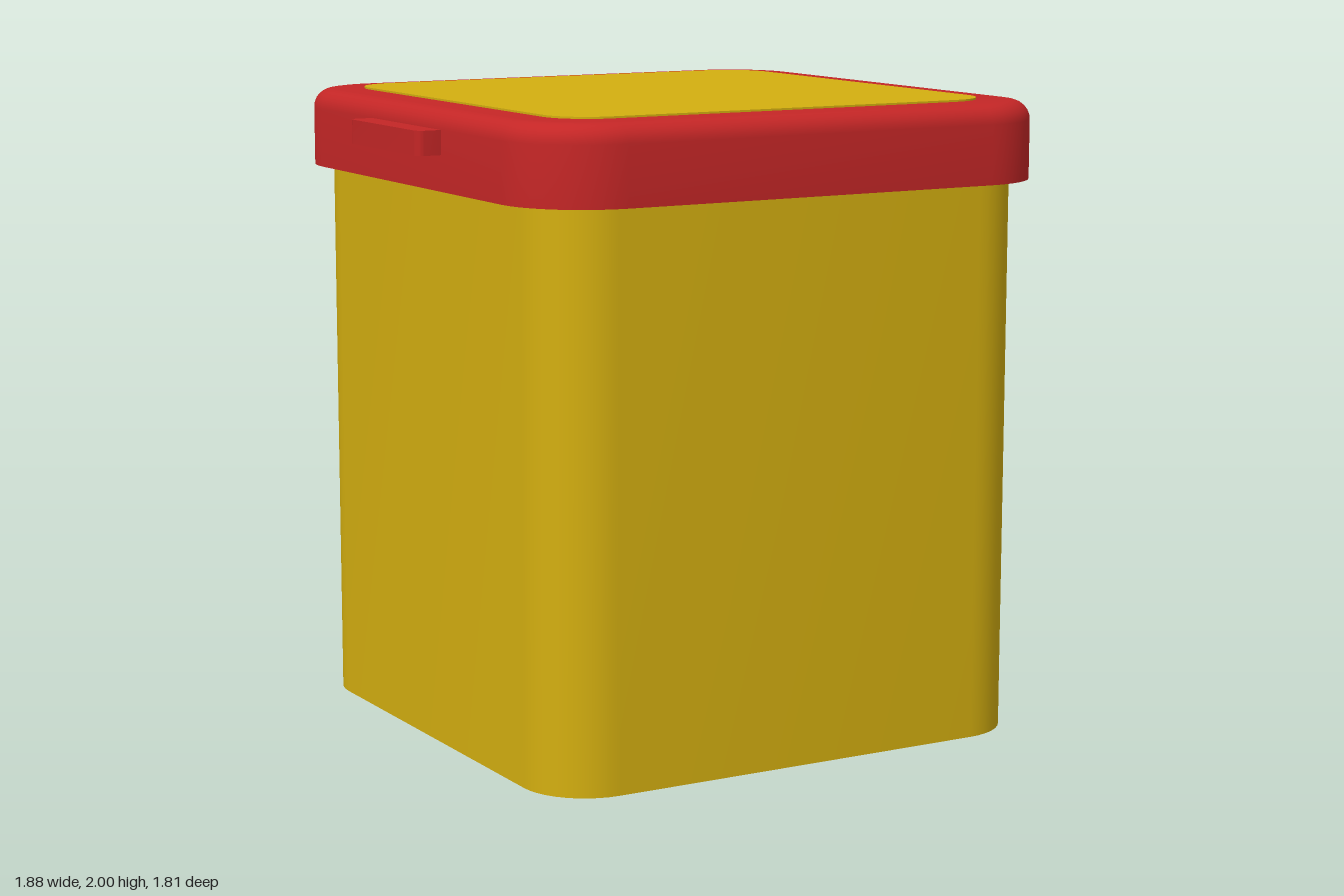
import * as THREE from 'three';
import { toCreasedNormals } from 'three/addons/utils/BufferGeometryUtils.js';

const CENTER_X = 0.037;

// Rounded rectangle outline, counter-clockwise seen from above.
function outline(hx, hz, r, inset, seg = 10) {
  const pts = [];
  const corners = [[1, 1], [-1, 1], [-1, -1], [1, -1]];
  corners.forEach(([sx, sz], q) => {
    for (let i = 0; i <= seg; i++) {
      const a = (q + i / seg) * Math.PI / 2;
      pts.push([
        sx * (hx - r) + (r - inset) * Math.cos(a),
        -(sz * (hz - r) + (r - inset) * Math.sin(a)),
      ]);
    }
  });
  return pts;
}

// Closed solid lofted through rings of [inset, y], from bottom to top.
function roundedSolid(hx, hz, r, rings) {
  const pos = [], idx = [];
  let n = 0;
  for (const [inset, y] of rings) {
    const pts = outline(hx, hz, r, inset);
    n = pts.length;
    pts.forEach(([x, z]) => pos.push(x, y, z));
  }
  const last = rings.length - 1;
  const bottom = rings.length * n, top = bottom + 1;
  pos.push(0, rings[0][1], 0, 0, rings[last][1], 0);
  for (let j = 0; j < n; j++) {
    const k = (j + 1) % n;
    for (let i = 0; i < last; i++) {
      const a = i * n + j, b = i * n + k, c = b + n, d = a + n;
      idx.push(a, b, c, a, c, d);
    }
    idx.push(bottom, k, j, top, last * n + j, last * n + k);
  }
  const g = new THREE.BufferGeometry();
  g.setAttribute('position', new THREE.Float32BufferAttribute(pos, 3));
  g.setIndex(idx);
  return toCreasedNormals(g, 0.6);
}

export function createModel() {
  const yellow = new THREE.MeshStandardMaterial({ color: 0xd4af10 });
  yellow.name = 'mustard yellow';
  const red = new THREE.MeshStandardMaterial({ color: 0xc42626 });
  red.name = 'lid red';

  const model = new THREE.Group();
  model.name = 'storageBox';
  const add = (name, geometry, material, x = CENTER_X) => {
    const mesh = new THREE.Mesh(geometry, material);
    mesh.name = name;
    mesh.position.x = x;
    model.add(mesh);
  };

  // Straight-sided container
  add('container', roundedSolid(0.842, 0.842, 0.21, [[0, 0], [0, 1.76]]), yellow);

  // Overhanging lid with a rounded upper edge
  const bevel = 0.06, lidTop = 1.994;
  const lidRings = [[0, 1.75]];
  for (let i = 0; i <= 6; i++) {
    const a = (i / 6) * Math.PI / 2;
    lidRings.push([bevel * (1 - Math.cos(a)), lidTop - bevel * (1 - Math.sin(a))]);
  }
  add('lid', roundedSolid(0.903, 0.903, 0.27, lidRings), red);

  // Thin inset panel on the lid
  add('lidPanel', roundedSolid(0.75, 0.75, 0.15, [[0, 1.992], [0, 2]]), yellow);

  // Opening tab on the right-hand side
  add('lidTab', roundedSolid(0.07, 0.243, 0.025, [[0, 1.86], [0, 1.935]]), red, -0.873);

  return model;
}
